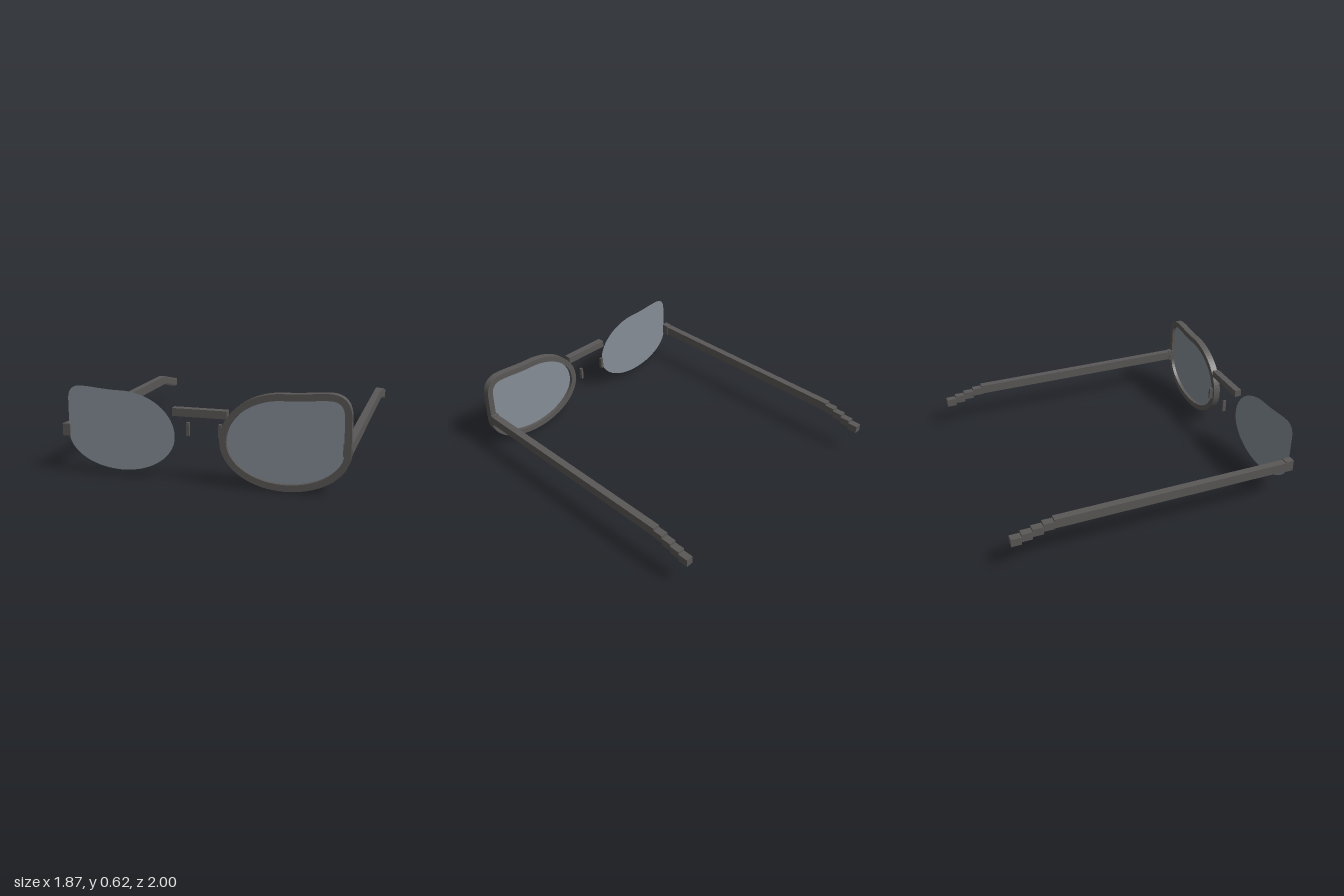
import * as THREE from 'three';

const RIM = 0.042; // rim width around the lens

// Lens opening on the +x side, counter-clockwise from the bottom
function lensShape() {
  const s = new THREE.Shape();
  s.moveTo(0.53, 0.043);
  s.bezierCurveTo(0.73, 0.043, 0.891, 0.143, 0.891, 0.265);
  s.lineTo(0.889, 0.48);
  s.bezierCurveTo(0.889, 0.545, 0.86, 0.576, 0.8, 0.576);
  s.bezierCurveTo(0.72, 0.576, 0.65, 0.56, 0.53, 0.56);
  s.bezierCurveTo(0.33, 0.56, 0.169, 0.437, 0.169, 0.285);
  s.bezierCurveTo(0.169, 0.152, 0.33, 0.043, 0.53, 0.043);
  return s;
}

// Moves a closed counter-clockwise outline outwards by d
function offset(pts, d) {
  const n = pts.length;
  return pts.map((p, i) => {
    const t = pts[(i + 1) % n].clone().sub(pts[(i + n - 1) % n]).normalize();
    return new THREE.Vector2(p.x + t.y * d, p.y - t.x * d);
  });
}

export function createModel() {
  const model = new THREE.Group();
  model.name = 'glasses';
  const frameMat = new THREE.MeshStandardMaterial({ color: 0x5a5857 });
  frameMat.name = 'dark grey frame';
  const lensMat = new THREE.MeshStandardMaterial({ color: 0x858e97, side: THREE.DoubleSide });
  lensMat.name = 'smoky lens';

  const add = (name, geo, mat, parent = model) => {
    const mesh = new THREE.Mesh(geo, mat);
    mesh.name = name;
    parent.add(mesh);
    return mesh;
  };
  // Box given by its limits on each axis
  const box = (name, [x0, x1], [y0, y1], [z0, z1], parent) => {
    const geo = new THREE.BoxGeometry(x1 - x0, y1 - y0, z1 - z0);
    geo.translate((x0 + x1) / 2, (y0 + y1) / 2, (z0 + z1) / 2);
    return add(name, geo, frameMat, parent);
  };

  const outline = lensShape().getPoints(20);
  outline.pop(); // drop the repeated closing point

  // Rim on the left side only
  const rim = new THREE.Shape(offset(outline, RIM));
  rim.holes.push(new THREE.Path(outline.slice().reverse()));
  const rimGeo = new THREE.ExtrudeGeometry(rim, { depth: 0.05, bevelEnabled: false });
  add('leftRim', rimGeo, frameMat).position.z = 0.95;

  // Paper-thin lenses
  for (const side of [1, -1]) {
    const pts = outline.map((p) => new THREE.Vector2(p.x * side, p.y));
    const lens = new THREE.ShapeGeometry(new THREE.Shape(pts));
    add(side > 0 ? 'leftLens' : 'rightLens', lens, lensMat).position.z = 0.975;
  }

  // Bridge and nose pads
  box('bridge', [-0.175, 0.175], [0.425, 0.475], [0.95, 1]);
  for (const x of [-0.105, 0.105]) {
    box('nosePad', [x - 0.009, x + 0.009], [0.28, 0.365], [0.893, 0.918]);
  }

  // Hinges, temple arms and stepped ear tips
  for (const side of [1, -1]) {
    const arm = new THREE.Group();
    arm.name = side > 0 ? 'leftArm' : 'rightArm';
    model.add(arm);
    const xs = (a, b) => (side > 0 ? [a, b] : [-b, -a]);
    box('hinge', xs(0.882, 0.932), [0.243, 0.322], [0.925, 0.985], arm);
    box('temple', xs(0.885, 0.934), [0.25, 0.316], [-0.72, 0.95], arm);
    for (let i = 0; i < 4; i++) {
      const z = -0.72 - i * 0.07;
      const y = 0.245 - i * 0.0185;
      box('earTip', xs(0.885, 0.934), [y, y + 0.055], [z - 0.07, z], arm);
    }
  }
  return model;
}
